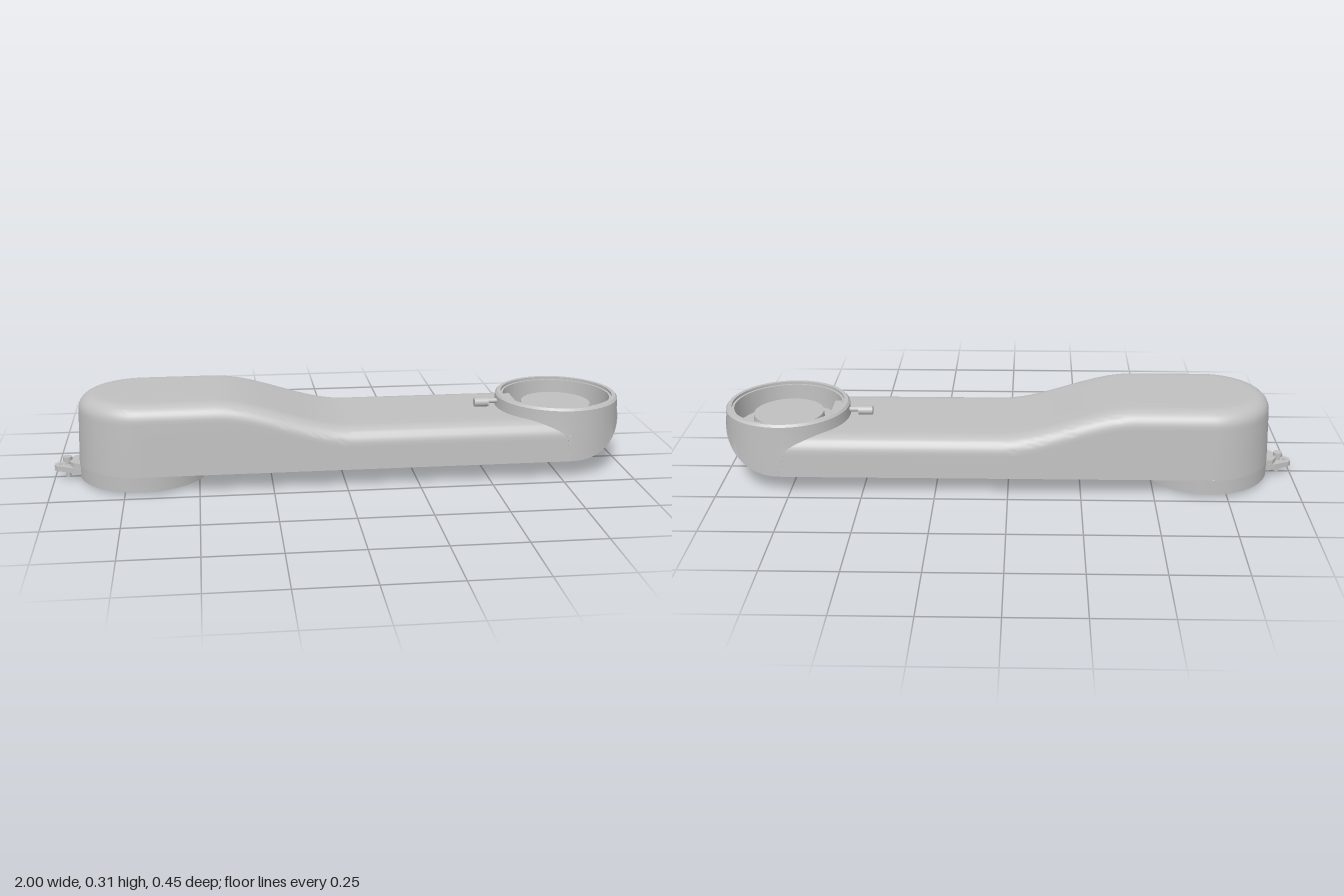
import * as THREE from 'three';
import { toCreasedNormals } from 'three/addons/utils/BufferGeometryUtils.js';

const W = 0.223, BASE = 0.065, FOOT_X = -0.69, CUP_X = 0.777, CUP_R = 0.2;
const gray = new THREE.MeshStandardMaterial({ color: 0xc0c0c0, side: THREE.DoubleSide });
gray.name = 'satin gray';

function add(parent, name, geometry, x = 0, y = 0, z = 0) {
  const mesh = new THREE.Mesh(geometry, gray);
  mesh.name = name;
  mesh.position.set(x, y, z);
  parent.add(mesh);
  return mesh;
}

// Height of the arm's top surface along its length
const topHeight = x => 0.305 - 0.1 * THREE.MathUtils.smoothstep(x, -0.44, 0.03);

// Underside of the cup end sweeps upward toward the tip
function underside(x) {
  const t = THREE.MathUtils.clamp((x - 0.79) / 0.21, 0, 1);
  return BASE + 0.155 * (1 - Math.sqrt(1 - t * t));
}

// Outline stations run down one side, around the foot end and back
function outline() {
  const side = [];
  for (let i = 0; i < 18; i++) {
    const t = i / 18 * Math.PI / 2;
    side.push({ x: CUP_X - CUP_R * Math.sin(t), dx: 0, dz: 1, max: W - CUP_R * Math.cos(t) });
  }
  for (let i = 0; i < 64; i++) {
    side.push({ x: THREE.MathUtils.lerp(CUP_X - CUP_R, FOOT_X, i / 64), dx: 0, dz: 1, max: W });
  }
  const cap = [];
  for (let i = 0; i <= 40; i++) {
    const a = Math.PI * (0.5 + i / 40);
    cap.push({ x: FOOT_X, dx: Math.cos(a), dz: Math.sin(a), max: W });
  }
  const back = side.map(s => ({ ...s, dz: -1 })).reverse();
  return [...side, ...cap, ...back];
}

// Each level gives the inward offset and height on the shell for top height h
function shellLevels(h) {
  const shoulder = h - 0.06, draft = 0.04 * (shoulder - BASE);
  const levels = [[0.016, 0.14], [0.016, BASE], [0, BASE], [draft / 2, (BASE + shoulder) / 2]];
  for (let k = 0; k <= 10; k++) {
    const a = k / 10 * Math.PI / 2;
    levels.push([draft + 0.07 * (1 - Math.cos(a) ** 0.85), shoulder + 0.06 * Math.sin(a) ** 0.85]);
  }
  levels.push([0.13, h], [0.18, h], [W, h]);
  return levels;
}

function shellGeometry() {
  const stations = outline(), n = stations.length, pos = [], index = [];
  const columns = stations.map(s => shellLevels(topHeight(s.x)));
  const rows = columns[0].length;
  for (let k = 0; k < rows; k++) {
    stations.forEach((s, i) => {
      const [d, y] = columns[i][k], r = W - Math.min(d, s.max);
      pos.push(s.x + s.dx * r, y, s.dz * r);
    });
  }
  for (let k = 0; k < rows - 1; k++) {
    for (let i = 0; i < n - 1; i++) {
      const a = k * n + i, b = a + n;
      index.push(a, b, b + 1, a, b + 1, a + 1);
    }
  }
  const g = new THREE.BufferGeometry();
  g.setAttribute('position', new THREE.Float32BufferAttribute(pos, 3));
  g.setIndex(index);
  return toCreasedNormals(g, 0.6);
}

function lathe(points) {
  return new THREE.LatheGeometry(points.map(p => new THREE.Vector2(...p)), 96);
}

// Round cup: bottom recess, swept underside, wall, rim and raised centre disc
function cupGeometry() {
  const lower = [[0, 0.1], [0.125, 0.1], [0.125, BASE], [0.145, BASE], [0.165, BASE]];
  for (let r = 0.17; r < 0.218; r += 0.008) lower.push([r, BASE]);
  lower.push([0.222, BASE], [0.2205, 0.12], [0.218, 0.18]);
  const upper = [[0.216, 0.244], [0.209, 0.252], [0.196, 0.252], [0.196, 0.243], [0.188, 0.243],
    [0.186, 0.165], [0.155, 0.165], [0.155, 0.18], [0.125, 0.18], [0.122, 0.215], [0, 0.215]];
  const profile = [...lower, ...upper];
  const g = lathe(profile), p = g.attributes.position;
  for (let i = 0; i < p.count; i++) {
    const j = i % profile.length;
    if (j < 2 || j >= lower.length) continue;
    // Towards the arm only a narrow boss reaches down
    const facesArm = p.getX(i) < -0.01 && profile[j][0] > 0.166;
    p.setY(i, Math.max(p.getY(i), facesArm ? 0.155 : underside(p.getX(i) + CUP_X)));
  }
  return toCreasedNormals(g, 0.6);
}

// Round foot with an open, stepped bottom
function footGeometry() {
  return toCreasedNormals(lathe([
    [0, 0.04], [0.15, 0.04], [0.15, 0.052], [0.165, 0.052], [0.165, 0.045], [0.205, 0.045],
    [0.205, 0.012], [0.222, 0.012], [0.223, BASE], [0.2, 0.08], [0, 0.08]]), 0.5);
}

// Upright rib between two floor points
function rib(parent, x1, z1, x2, z2, top = 0.165) {
  const bottom = 0.07;
  const g = new THREE.BoxGeometry(Math.hypot(x2 - x1, z2 - z1), top - bottom, 0.011);
  const m = add(parent, 'rib', g, (x1 + x2) / 2, (top + bottom) / 2, (z1 + z2) / 2);
  m.rotation.y = -Math.atan2(z2 - z1, x2 - x1);
}

function plate(points, depth, hole) {
  const shape = new THREE.Shape(points.map(p => new THREE.Vector2(...p)));
  if (hole) shape.holes.push(new THREE.Path().absarc(hole[0], hole[1], hole[2], 0, Math.PI * 2, true));
  return new THREE.ExtrudeGeometry(shape, { depth, bevelEnabled: false }).rotateX(Math.PI / 2);
}

export function createModel() {
  const model = new THREE.Group();
  model.name = 'armLink';
  add(model, 'armShell', shellGeometry());
  add(model, 'endCup', cupGeometry(), CUP_X);
  add(model, 'foot', footGeometry(), FOOT_X);

  // Stiffening lattice inside the open underside
  const lattice = new THREE.Group();
  lattice.name = 'underLattice';
  model.add(lattice);
  for (const s of [-1, 1]) {
    rib(lattice, -0.46, 0.07 * s, -0.2, 0.2 * s);
    rib(lattice, -0.2, 0.2 * s, 0.2, 0.07 * s);
    rib(lattice, -0.05, 0.155 * s, 0.06, 0.2 * s);
    rib(lattice, 0.2, 0.07 * s, 0.06, 0.2 * s);
    rib(lattice, 0.2, 0.07 * s, 0.32, 0.2 * s);
    rib(lattice, 0.32, 0.2 * s, 0.4, 0.1 * s);
    rib(lattice, 0.4, 0.1 * s, 0.54, 0.2 * s);
    rib(lattice, 0.2, 0.07 * s, 0.61, -0.05 * s);
    rib(lattice, 0.4, 0.1 * s, 0.64, 0.1 * s);
    for (const [x, z] of [[0.2, 0.07], [0.4, 0.1]]) {
      add(lattice, 'boss', new THREE.CylinderGeometry(0.032, 0.032, 0.13, 24), x, 0.135, z * s);
    }
  }
  rib(lattice, 0.2, -0.07, 0.2, 0.07);
  rib(lattice, 0.4, -0.1, 0.4, 0.1);
  add(lattice, 'centrePlate', plate([[-0.47, -0.07], [-0.2, -0.2], [0.2, -0.07],
    [0.2, 0.07], [-0.2, 0.2], [-0.47, 0.07]], 0.01), 0, 0.095);
  for (let i = -4; i <= 4; i++) {
    const a = i * 0.2, c = Math.cos(a), s = Math.sin(a);
    rib(lattice, FOOT_X + 0.21 * c, 0.21 * s, FOOT_X + 0.27 * c, 0.25 * s, 0.14);
  }

  // Tapered lug and its vertical screw at the foot end
  const lug = new THREE.Group();
  lug.name = 'footLug';
  model.add(lug);
  add(lug, 'lugPlate', plate([[-0.89, -0.055], [-0.89, 0.055], [-0.94, 0.045], [-0.99, 0.022],
    [-1, 0.01], [-1, -0.01], [-0.99, -0.022], [-0.94, -0.045]], 0.018, [-0.978, 0, 0.007]), 0, 0.046);
  add(lug, 'lugRoot', plate([[-0.89, -0.055], [-0.89, 0.055], [-0.93, 0.045], [-0.945, 0.02],
    [-0.945, -0.02], [-0.93, -0.045]], 0.038), 0, 0.062);
  add(lug, 'lugScrew', new THREE.CylinderGeometry(0.009, 0.009, 0.07, 16), -0.955, 0.035, 0);
  add(lug, 'screwHead', new THREE.CylinderGeometry(0.016, 0.016, 0.016, 20), -0.955, 0.066, 0);

  // Latch pin in front of the cup with its block inside the rim
  const latch = new THREE.Group();
  latch.name = 'cupLatch';
  model.add(latch);
  add(latch, 'latchHead', new THREE.CylinderGeometry(0.016, 0.016, 0.05, 20).rotateZ(Math.PI / 2), 0.505, 0.222, 0);
  add(latch, 'latchPin', new THREE.CylinderGeometry(0.009, 0.009, 0.08, 16).rotateZ(Math.PI / 2), 0.55, 0.226, 0);
  add(latch, 'latchBlock', new THREE.BoxGeometry(0.03, 0.07, 0.11), 0.605, 0.2, 0);
  return model;
}
